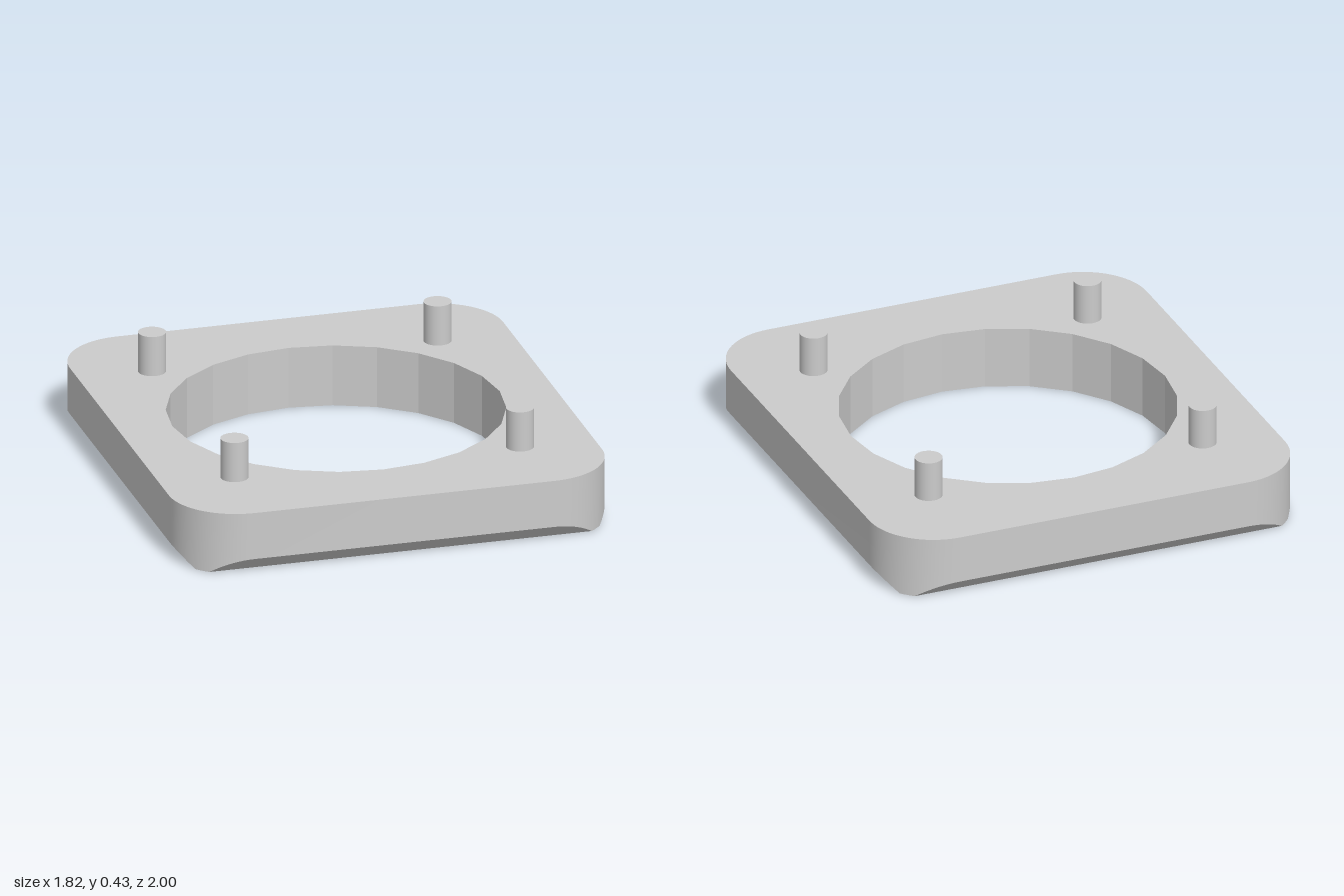
import * as THREE from 'three';
import { mergeGeometries, toCreasedNormals } from 'three/addons/utils/BufferGeometryUtils.js';

const HX = 0.91, HZ = 1, R = 0.28, TOP = 0.26, CH = 0.06, HOLE = 0.688;
const CREASE = 0.2;

// Rounded rectangle, counter-clockwise; arcs split where the chamfer planes end
function outlinePoints() {
  const split = Math.asin((R - CH) / R), other = Math.PI / 2 - split;
  const stops = [[0, other, 8], [other, split, 3], [split, Math.PI / 2, 8]];
  const angles = [0];
  for (const [a, b, n] of stops)
    for (let i = 1; i <= n; i++) angles.push(a + (b - a) * i / n);
  const pts = [];
  [[1, 1], [-1, 1], [-1, -1], [1, -1]].forEach(([sx, sy], q) => {
    for (const a of angles) {
      const t = a + q * Math.PI / 2;
      pts.push(new THREE.Vector2(sx * (HX - R) + R * Math.cos(t), sy * (HZ - R) + R * Math.sin(t)));
    }
  });
  return pts;
}

// Closed strip between a lower and an upper loop, skipping collapsed triangles
function strip(lower, upper) {
  const pos = [], n = lower.length;
  const tri = (a, b, c) => {
    if (new THREE.Triangle(a, b, c).getArea() > 1e-8) pos.push(...a, ...b, ...c);
  };
  for (let i = 0; i < n; i++) {
    const j = (i + 1) % n;
    tri(lower[i], lower[j], upper[j]);
    tri(lower[i], upper[j], upper[i]);
  }
  const g = new THREE.BufferGeometry();
  g.setAttribute('position', new THREE.Float32BufferAttribute(pos, 3));
  return g;
}

// Flat face with the round opening
function cap(points, hole, facing, y) {
  const shape = new THREE.Shape(points);
  shape.holes.push(new THREE.Path(hole));
  const g = new THREE.ShapeGeometry(shape).toNonIndexed();
  g.deleteAttribute('uv');
  g.deleteAttribute('normal');
  return g.rotateX(-facing * Math.PI / 2).translate(0, y, 0);
}

function plateGeometry() {
  const outline = outlinePoints();
  const hole = Array.from({ length: 24 }, (_, i) => {
    const a = i * Math.PI / 12;
    return new THREE.Vector2(HOLE * Math.cos(a), HOLE * Math.sin(a));
  });
  const lift = (pts, y) => pts.map(p => new THREE.Vector3(p.x, typeof y === 'function' ? y(p) : y, -p.y));

  // Four 45 degree planes trim the lower edges
  const lipHeight = p => Math.max(0, Math.abs(p.x) - (HX - CH), Math.abs(p.y) - (HZ - CH));
  const base = outline.map(p => new THREE.Vector2(
    THREE.MathUtils.clamp(p.x, CH - HX, HX - CH),
    THREE.MathUtils.clamp(p.y, CH - HZ, HZ - CH)));
  const inward = [...hole].reverse();

  const g = mergeGeometries([
    strip(lift(outline, lipHeight), lift(outline, TOP)),
    strip(lift(base, 0), lift(outline, lipHeight)),
    strip(lift(inward, 0), lift(inward, TOP)),
    cap(outline, hole, 1, TOP),
    cap(base, hole, -1, 0),
  ]);
  return toCreasedNormals(g, CREASE);
}

export function createModel() {
  const model = new THREE.Group();
  model.name = 'mountingPlate';
  const material = new THREE.MeshStandardMaterial({ color: 0xcccccc });

  const plate = new THREE.Mesh(plateGeometry(), material);
  plate.name = 'plate';
  model.add(plate);

  // Locating pegs
  const pegGeometry = new THREE.CylinderGeometry(0.057, 0.057, 0.17, 32);
  for (const [side, x] of [['Left', 0.6], ['Right', -0.6]])
    for (const [end, z] of [['front', 0.6], ['back', -0.6]]) {
      const peg = new THREE.Mesh(pegGeometry, material);
      peg.name = `${end}${side}Peg`;
      peg.position.set(x, TOP + 0.085, z);
      model.add(peg);
    }
  return model;
}
